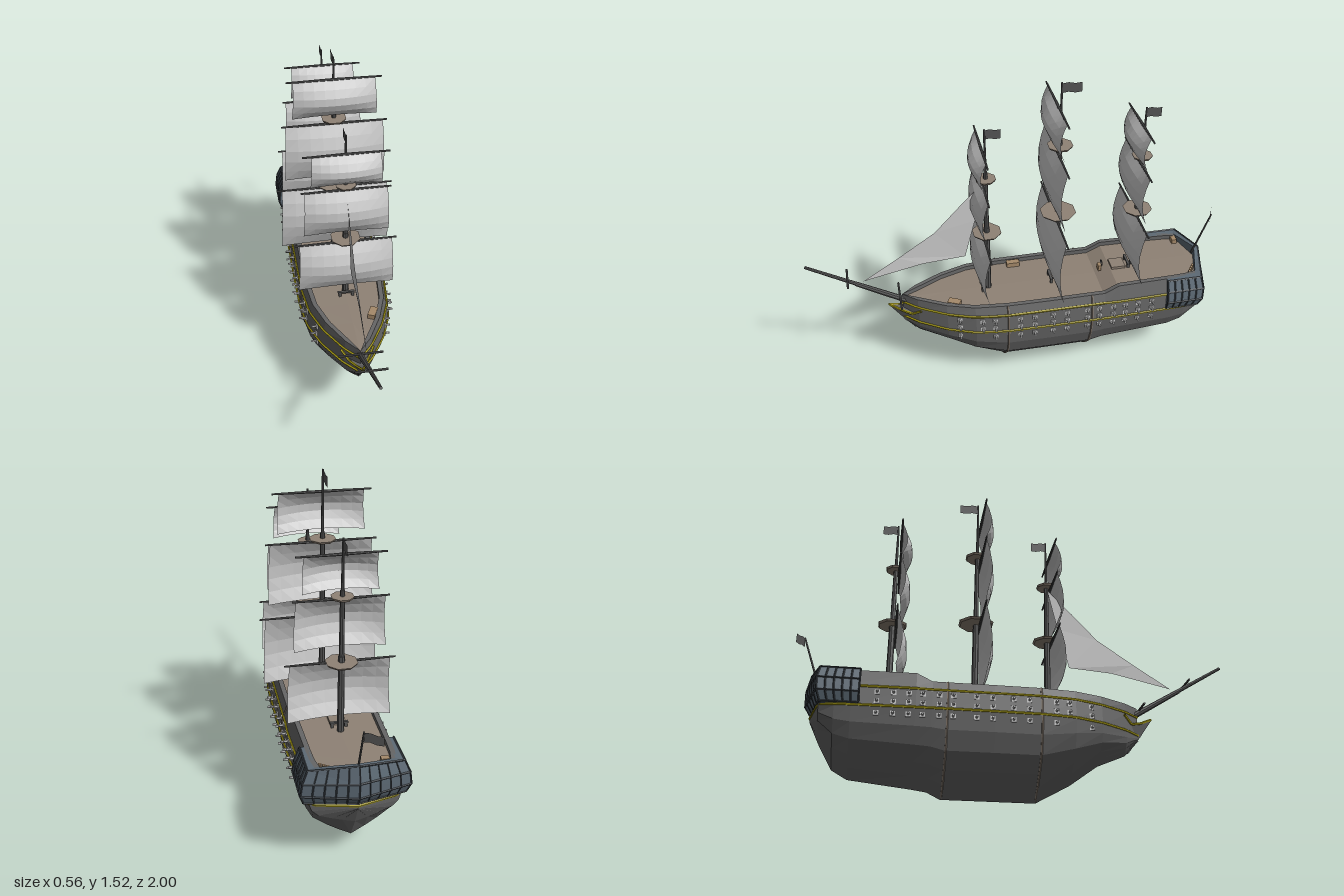
import * as THREE from 'three';

const V = (x, y, z) => new THREE.Vector3(x, y, z);
const mat = (color) => new THREE.MeshStandardMaterial({ color, flatShading: true, side: THREE.DoubleSide });
const M = {
  hull: mat(0x666666), spar: mat(0x555555), sail: mat(0xcccccc), deck: mat(0x8f8275),
  trim: mat(0xa89c14), gallery: mat(0x5d6a75), frame: mat(0x3c4248), gun: mat(0xcccccc), wood: mat(0xa58a6a),
};

// Hull stations: z, keel height, half beam, rail height
const STATIONS = [
  [0.57, 0.31, 0, 0.47], [0.5, 0.235, 0.065, 0.47], [0.37, 0.18, 0.145, 0.47], [0.24, 0.085, 0.195, 0.47],
  [0.086, 0, 0.213, 0.47], [-0.12, 0, 0.216, 0.47], [-0.33, 0, 0.216, 0.47], [-0.39, 0.03, 0.216, 0.47],
  [-0.46, 0.04, 0.215, 0.505], [-0.73, 0.07, 0.208, 0.505], [-0.8, 0.11, 0.204, 0.505],
  [-0.865, 0.225, 0.19, 0.505], [-0.91, 0.32, 0, 0.505],
];
// Section profile: 0 = keel, 1 = widest height, 2 = rail; then fraction of half beam
const PROFILE = [[0, 0], [0.15, 0.28], [0.3, 0.53], [0.5, 0.81], [0.75, 0.95], [1, 1], [1.6, 0.96], [2, 0.87]];
const WIDE = 0.33;

function lerpRow(rows, key) {
  let i = 0;
  const sign = Math.sign(rows[1][0] - rows[0][0]);
  while (i < rows.length - 2 && (rows[i + 1][0] - key) * sign < 0) i++;
  const f = THREE.MathUtils.clamp((key - rows[i][0]) / (rows[i + 1][0] - rows[i][0]), 0, 1);
  return rows[i].map((a, k) => a + (rows[i + 1][k] - a) * f);
}
const heightAt = ([, k, , top], s) => (s <= 1 ? k + (WIDE - k) * s : WIDE + (top - WIDE) * (s - 1));
function hullX(z, y) {
  const [, k, w, top] = lerpRow(STATIONS, z);
  const s = y <= WIDE ? (y - k) / (WIDE - k) : 1 + (y - WIDE) / (top - WIDE);
  return w * lerpRow(PROFILE, s)[1];
}

function mesh(parent, name, geometry, material) {
  const m = new THREE.Mesh(geometry, material);
  m.name = name;
  parent.add(m);
  return m;
}
function group(parent, name) {
  const g = new THREE.Group();
  g.name = name;
  parent.add(g);
  return g;
}
// Surface through equally long rows of points
function loft(rings) {
  const n = rings[0].length, index = [];
  for (let i = 0; i < rings.length - 1; i++)
    for (let j = 0; j < n - 1; j++) {
      const a = i * n + j, b = a + n;
      index.push(a, b, a + 1, b, b + 1, a + 1);
    }
  const g = new THREE.BufferGeometry().setFromPoints(rings.flat());
  g.setIndex(index);
  const out = g.toNonIndexed();
  out.computeVertexNormals();
  return out;
}
// Tapered round bar between two points
function bar(parent, name, a, b, r1, r2 = r1, material = M.spar, sides = 8) {
  const m = mesh(parent, name, new THREE.CylinderGeometry(r2, r1, a.distanceTo(b), sides), material);
  m.position.copy(a).add(b).multiplyScalar(0.5);
  m.quaternion.setFromUnitVectors(V(0, 1, 0), b.clone().sub(a).normalize());
  return m;
}
function box(parent, name, size, pos, material) {
  const m = mesh(parent, name, new THREE.BoxGeometry(...size), material);
  m.position.set(...pos);
  return m;
}
function strip(parent, name, pts, r, material) {
  const path = new THREE.CurvePath();
  for (let i = 1; i < pts.length; i++) path.add(new THREE.LineCurve3(pts[i - 1], pts[i]));
  mesh(parent, name, new THREE.TubeGeometry(path, pts.length * 4, r, 5), material);
}
const mirrorPath = (half) => [...half, ...half.slice(0, -1).reverse().map((p) => V(-p.x, p.y, p.z))];

function buildHull(root) {
  const g = group(root, 'hull');
  const shell = [], deck = [];
  for (const st of STATIONS) {
    const [z, , w, top] = st;
    const inner = Math.max(0, w * 0.87 - 0.022);
    const half = [V(inner, top - 0.03, z), V(inner, top, z),
      ...PROFILE.slice().reverse().map(([s, f]) => V(w * f, heightAt(st, s), z))];
    shell.push(mirrorPath(half));
    deck.push([V(-inner - 0.005, top - 0.022, z), V(0, top - 0.02, z), V(inner + 0.005, top - 0.022, z)]);
  }
  mesh(g, 'hullShell', loft(shell), M.hull);
  mesh(g, 'deck', loft(deck), M.deck);

  // Yellow trim lines
  const zs = STATIONS.map((s) => s[0]);
  const line = (y, z) => V(hullX(z, y) + (z < -0.9 ? 0 : 0.002), y, z);
  strip(g, 'lowerTrim', mirrorPath(zs.map((z) => line(0.337, z))), 0.006, M.trim);
  for (const s of [1, -1])
    strip(g, 'upperTrim', [0.57, 0.5, 0.37, 0.24, 0.086, -0.33, -0.39, -0.46, -0.7].map((z) => {
      const p = line(0.425, z);
      return V(p.x * s, p.y, p.z);
    }), 0.006, M.trim);

  // Ribs around the hull
  for (const z of [0.086, -0.325]) {
    const st = lerpRow(STATIONS, z);
    const half = PROFILE.slice().reverse().map(([s, f]) => V(st[2] * f, Math.max(0.005, heightAt(st, s)), z));
    strip(g, 'rib', mirrorPath(half), 0.005, M.deck);
  }

  // Beak below the bowsprit
  const y0 = [[0.45, 0.22, 0.4], [0.52, 0.25, 0.38], [0.58, 0.33, 0.39], [0.636, 0.412, 0.418]];
  mesh(g, 'beak', loft(y0.map(([z, lo, hi], i) => {
    const w = [0.07, 0.045, 0.02, 0.004][i];
    return [V(0, lo, z), V(w, hi, z), V(-w, hi, z), V(0, lo, z)];
  })), M.hull);
  for (const s of [1, -1])
    strip(g, 'beakRail', [V(s * 0.075, 0.41, 0.49), V(s * 0.045, 0.375, 0.53), V(s * 0.022, 0.39, 0.58), V(0, 0.418, 0.636)], 0.006, M.trim);

  // Guns in three rows
  const guns = group(root, 'guns');
  const gunZ = [0.315, 0.21, 0.15, 0.03, -0.04, -0.13, -0.2, -0.3, -0.36, -0.43, -0.49, -0.555, -0.625];
  for (const y of [0.4, 0.358, 0.305])
    for (const z of gunZ) {
      if (y < 0.32 && z === 0.21) continue;
      const x = hullX(z, y);
      for (const s of [1, -1]) {
        box(guns, 'gunPort', [0.008, 0.022, 0.022], [s * x, y, z], M.gun);
        bar(guns, 'gunBarrel', V(s * x, y, z), V(s * (x + 0.025), y, z), 0.006, 0.005, M.gun, 6);
      }
    }
}

function buildGallery(root) {
  const g = group(root, 'sternGallery');
  // Rows: height, half width, corner z, centre z, centre lift
  const rows = [[0.335, 0.19, -0.85, -0.9, 0], [0.345, 0.215, -0.862, -0.907, 0], [0.39, 0.23, -0.877, -0.935, 0],
    [0.45, 0.222, -0.88, -0.937, 0.01], [0.505, 0.2, -0.87, -0.92, 0.03], [0.505, 0.165, -0.85, -0.9, 0.03], [0.475, 0.165, -0.85, -0.9, 0]];
  const rings = rows.map(([y, w, zc, za, lift]) =>
    mirrorPath([V(Math.min(w, 0.17), y, -0.7), V(w, y, -0.7), V(w, y, zc), V(0, y + lift, za)]));
  mesh(g, 'galleryWall', loft(rings), M.gallery);
  // Window frames
  for (let r = 1; r <= 4; r++)
    for (let e = 1; e <= 4; e++) {
      const a = rings[r][e], b = rings[r][e + 1];
      bar(g, 'frameRail', a, b, 0.005, 0.005, M.frame, 4);
      if (r === 4) continue;
      for (let k = 0; k <= 5; k++)
        bar(g, 'framePost', a.clone().lerp(b, k / 5), rings[r + 1][e].clone().lerp(rings[r + 1][e + 1], k / 5), 0.004, 0.004, M.frame, 4);
    }
}

function flag(parent, from, dir, length, height) {
  const rows = [0, 0.33, 0.66, 1].map((t) => {
    const p = from.clone().addScaledVector(dir, length * t);
    p.y += Math.sin(t * 6) * 0.004;
    return [p, V(p.x, p.y - height, p.z)];
  });
  mesh(parent, 'flag', loft(rows), M.spar);
}

function buildSail(parent, z, half, yTop, yBottom) {
  const rows = [];
  for (let i = 0; i <= 5; i++) {
    const v = i / 5, row = [];
    for (let j = 0; j <= 8; j++) {
      const u = j / 4 - 1;
      const belly = Math.sin(Math.PI * Math.min(1, v * 0.9 + 0.02)) * (0.028 + 0.03 * (1 - u * u));
      const y = yTop + (yBottom - yTop) * v + (1 - u * u) * v * 0.012;
      row.push(V(u * half * (0.97 + 0.05 * v), y, z + 0.018 + belly));
    }
    rows.push(row);
  }
  mesh(parent, 'sail', loft(rows), M.sail);
}

// Platforms: height, half size. Sails: yard half length, sail half width, top, bottom
const MASTS = [
  { name: 'foreMast', z: 0.15, top: 1.33, platforms: [[0.78, 0.065], [1.075, 0.045]],
    sails: [[0.235, 0.22, 0.77, 0.51], [0.2, 0.19, 1.06, 0.83], [0.19, 0.155, 1.245, 1.09]] },
  { name: 'mainMast', z: -0.19, top: 1.52, platforms: [[0.85, 0.08], [1.21, 0.055]],
    sails: [[0.28, 0.262, 0.84, 0.51], [0.245, 0.233, 1.193, 0.905], [0.215, 0.19, 1.418, 1.235]] },
  { name: 'mizzenMast', z: -0.58, top: 1.36, platforms: [[0.815, 0.065], [1.11, 0.045]],
    sails: [[0.235, 0.22, 0.81, 0.53], [0.2, 0.19, 1.095, 0.865], [0.185, 0.155, 1.285, 1.12]] },
];

function buildMast(root, { name, z, top, platforms, sails }) {
  const g = group(root, name);
  const [p1, p2] = platforms.map((p) => p[0]);
  bar(g, 'lowerMast', V(0, 0.4, z), V(0, p1 + 0.03, z), 0.016, 0.014);
  bar(g, 'topMast', V(0, p1, z), V(0, p2 + 0.03, z), 0.012, 0.01);
  bar(g, 'upperMast', V(0, p2, z), V(0, top, z), 0.008, 0.004);
  for (const [y, r] of platforms) {
    const p = mesh(g, 'platform', new THREE.CylinderGeometry(r * 1.08, r * 0.98, 0.01, 8).rotateY(Math.PI / 8), M.deck);
    p.position.set(0, y, z);
  }
  for (const [yard, half, yTop, yBottom] of sails) {
    for (const s of [1, -1]) bar(g, 'yard', V(0, yTop, z + 0.018), V(s * yard, yTop, z + 0.018), 0.007, 0.004);
    buildSail(g, z, half, yTop, yBottom);
  }
  flag(g, V(0, top - 0.005, z), V(0, 0, -1), name === 'mainMast' ? 0.09 : 0.072, 0.045);
  // Bitts around the foot of the mast
  const y = lerpRow(STATIONS, z)[3] - 0.01;
  for (const s of [1, -1]) box(g, 'bitt', [0.012, 0.03, 0.012], [s * 0.03, y, z + 0.03], M.spar);
  box(g, 'bittRail', [0.08, 0.008, 0.012], [0, y + 0.012, z + 0.03], M.spar);
}

export function createModel() {
  const root = new THREE.Group();
  root.name = 'sailingShip';
  buildHull(root);
  buildGallery(root);
  MASTS.forEach((m) => buildMast(root, m));

  // Bowsprit with two crossbars
  const bow = group(root, 'bowsprit');
  bar(bow, 'lowerBowsprit', V(0, 0.375, 0.46), V(0, 0.57, 0.78), 0.016, 0.011);
  bar(bow, 'upperBowsprit', V(0, 0.553, 0.75), V(0, 0.702, 0.997), 0.01, 0.007);
  bar(bow, 'lowerCrossbar', V(-0.1, 0.46, 0.58), V(0.1, 0.46, 0.58), 0.005);
  bar(bow, 'upperCrossbar', V(-0.07, 0.605, 0.815), V(0.07, 0.605, 0.815), 0.005);

  // Jib between foremast and bowsprit
  const luff = [[0.155, 1.065], [0.275, 0.94], [0.395, 0.81], [0.57, 0.69], [0.743, 0.578]];
  const leech = [[0.155, 1.065], [0.205, 0.86], [0.257, 0.66], [0.46, 0.645], [0.743, 0.578]];
  mesh(root, 'jib', loft(luff.map(([z, y], i) => [V(0, y, z), V(i % 4 ? 0.008 : 0, leech[i][1], leech[i][0])])), M.sail);

  // Stern flag
  const ensign = group(root, 'sternFlag');
  bar(ensign, 'flagPole', V(0, 0.5, -0.89), V(0, 0.725, -0.968), 0.005, 0.004);
  flag(ensign, V(0, 0.72, -0.966), V(-0.9, -0.08, -0.4), 0.08, 0.042);

  // Deck fittings
  const fit = group(root, 'deckFittings');
  box(fit, 'crate', [0.03, 0.025, 0.065], [-0.14, 0.46, 0], M.wood);
  box(fit, 'crate', [0.035, 0.025, 0.06], [0.1, 0.46, 0.33], M.wood).rotation.y = -0.45;
  box(fit, 'sternChest', [0.035, 0.025, 0.025], [-0.125, 0.495, -0.84], M.wood);
  box(fit, 'hatch', [0.07, 0.015, 0.07], [0, 0.49, -0.5], M.deck);
  box(fit, 'wheelStand', [0.03, 0.03, 0.015], [0, 0.485, -0.41], M.wood);
  mesh(fit, 'wheel', new THREE.TorusGeometry(0.014, 0.003, 5, 10), M.spar).position.set(0, 0.508, -0.42);
  for (let i = 0; i < 4; i++)
    bar(fit, 'barrel', V(0.1 + i * 0.014, 0.48, -0.86 + i * 0.01), V(0.1 + i * 0.014, 0.505, -0.86 + i * 0.01), 0.007, 0.007, M.wood);
  return root;
}
